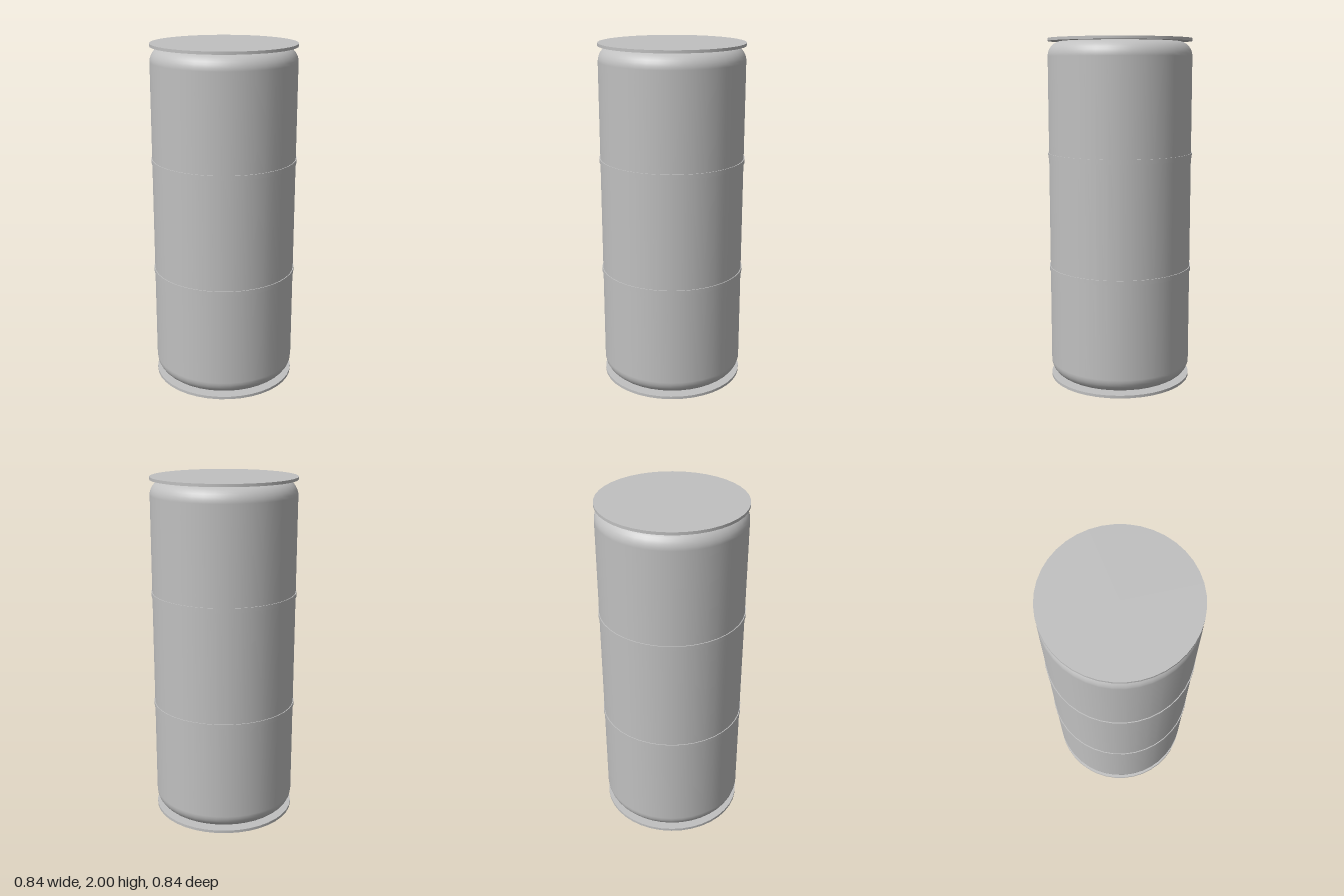
import * as THREE from 'three';

const R = 0.414, SIDES = 40, LID = 0.016, ROUND = 0.085;

export function createModel() {
  const group = new THREE.Group();
  group.name = 'drum';
  const metal = new THREE.MeshStandardMaterial({ color: 0xc0c0c0 });
  metal.name = 'grey metal';

  const add = (name, geometry, y = 0) => {
    const mesh = new THREE.Mesh(geometry, metal);
    mesh.name = name;
    mesh.position.y = y;
    group.add(mesh);
  };

  // Body: cylinder with rounded shoulders, profile runs bottom to top
  const bottom = LID + 0.004, top = 2 - LID;
  const profile = [new THREE.Vector2(0, bottom)];
  const corner = (cy, start) => {
    for (let i = 0; i <= 8; i++) {
      const a = start + (i / 8) * Math.PI / 2;
      profile.push(new THREE.Vector2(R - ROUND + ROUND * Math.cos(a), cy + ROUND * Math.sin(a)));
    }
  };
  corner(bottom + ROUND, -Math.PI / 2);
  corner(top - ROUND, 0);
  profile.push(new THREE.Vector2(0, top));
  add('body', new THREE.LatheGeometry(profile, SIDES));

  // Flat end discs
  const disc = new THREE.CylinderGeometry(R, R, LID, SIDES);
  add('bottomDisc', disc, LID / 2);
  add('topDisc', disc, 2 - LID / 2);

  // Thin hoops at one third and two thirds of the height
  const hoop = new THREE.CylinderGeometry(R + 0.005, R + 0.005, 0.026, SIDES);
  add('lowerHoop', hoop, 0.67);
  add('upperHoop', hoop, 1.337);

  return group;
}
